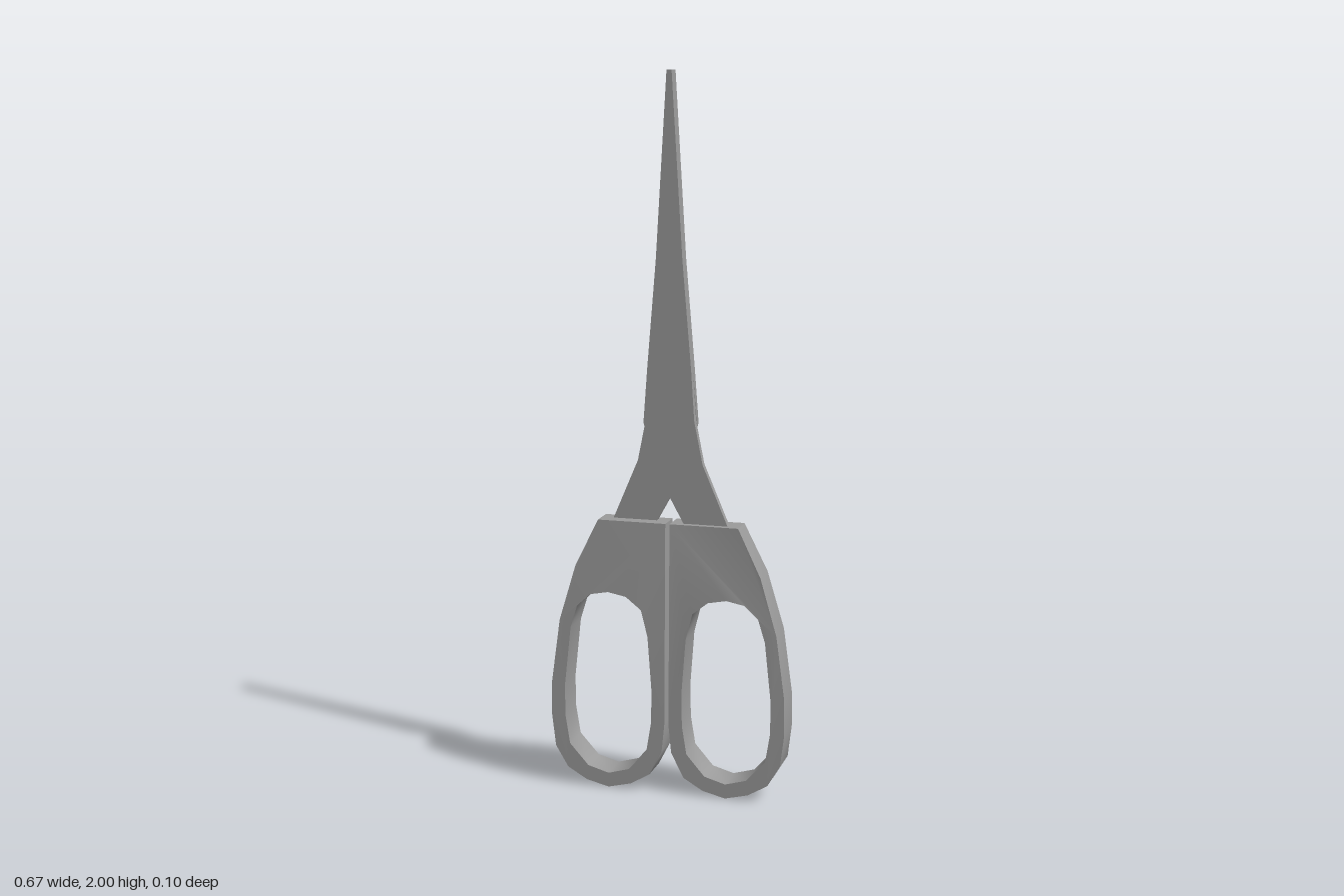
import * as THREE from 'three';
import { toCreasedNormals } from 'three/addons/utils/BufferGeometryUtils.js';

const CREASE = 0.85;

const toPoints = (list) => list.map(([x, y]) => new THREE.Vector2(x, y));

// Flat plate between two z planes, with an optional hole
function plate(outline, z0, z1, hole) {
  const shape = new THREE.Shape(toPoints(outline));
  if (hole) shape.holes.push(new THREE.Path(toPoints(hole)));
  const geometry = new THREE.ExtrudeGeometry(shape, { depth: z1 - z0, bevelEnabled: false });
  return geometry.translate(0, 0, z0);
}

// Half thickness of the handle: thinner towards the blade
function handleHalfDepth(y) {
  return y > 0.57
    ? THREE.MathUtils.mapLinear(y, 0.57, 0.775, 0.045, 0.036)
    : THREE.MathUtils.mapLinear(y, 0, 0.57, 0.048, 0.045);
}

function makeHalf(material) {
  const half = new THREE.Group();

  // Blade with its crossing shank, ending inside the handle
  const bladeGeometry = plate([
    [0.055, 0.74], [0.18, 0.74], [0.165, 0.775], [0.095, 0.94], [0.071, 1.06],
    [0.062, 1.2], [0.037, 1.5], [0.007, 2], [-0.007, 2], [-0.037, 1.5],
    [-0.062, 1.2], [-0.073, 1.05], [-0.063, 1.01], [-0.037, 0.92], [0, 0.848], [0.04, 0.775],
  ], 0, 0.019);
  const blade = new THREE.Mesh(toCreasedNormals(bladeGeometry, CREASE), material);
  blade.name = 'blade';

  // Handle with finger loop
  const handleGeometry = plate([
    [0.006, 0.773], [0.006, 0.2], [0.014, 0.12], [0.05, 0.05], [0.105, 0.018], [0.17, 0.002],
    [0.235, 0.018], [0.29, 0.05], [0.326, 0.11], [0.337, 0.2], [0.336, 0.3], [0.312, 0.48],
    [0.265, 0.64], [0.2, 0.773],
  ], -1, 1, [
    [0.17, 0.57], [0.118, 0.56], [0.074, 0.525], [0.055, 0.45], [0.043, 0.29], [0.045, 0.2],
    [0.058, 0.12], [0.11, 0.06], [0.17, 0.043], [0.23, 0.06], [0.284, 0.12], [0.297, 0.2],
    [0.298, 0.29], [0.28, 0.46], [0.26, 0.525], [0.222, 0.56],
  ]);
  const p = handleGeometry.attributes.position;
  for (let i = 0; i < p.count; i++) p.setZ(i, p.getZ(i) * handleHalfDepth(p.getY(i)));
  const handle = new THREE.Mesh(toCreasedNormals(handleGeometry, CREASE), material);
  handle.name = 'handle';

  half.add(blade, handle);
  return half;
}

export function createModel() {
  const material = new THREE.MeshStandardMaterial({ color: 0x9b9b9b });
  const model = new THREE.Group();
  model.name = 'scissors';

  // The second half is the first turned half way round the vertical axis
  ['leftHalf', 'rightHalf'].forEach((name, i) => {
    const half = makeHalf(material);
    half.name = name;
    half.rotation.y = i * Math.PI;
    model.add(half);
  });
  return model;
}
